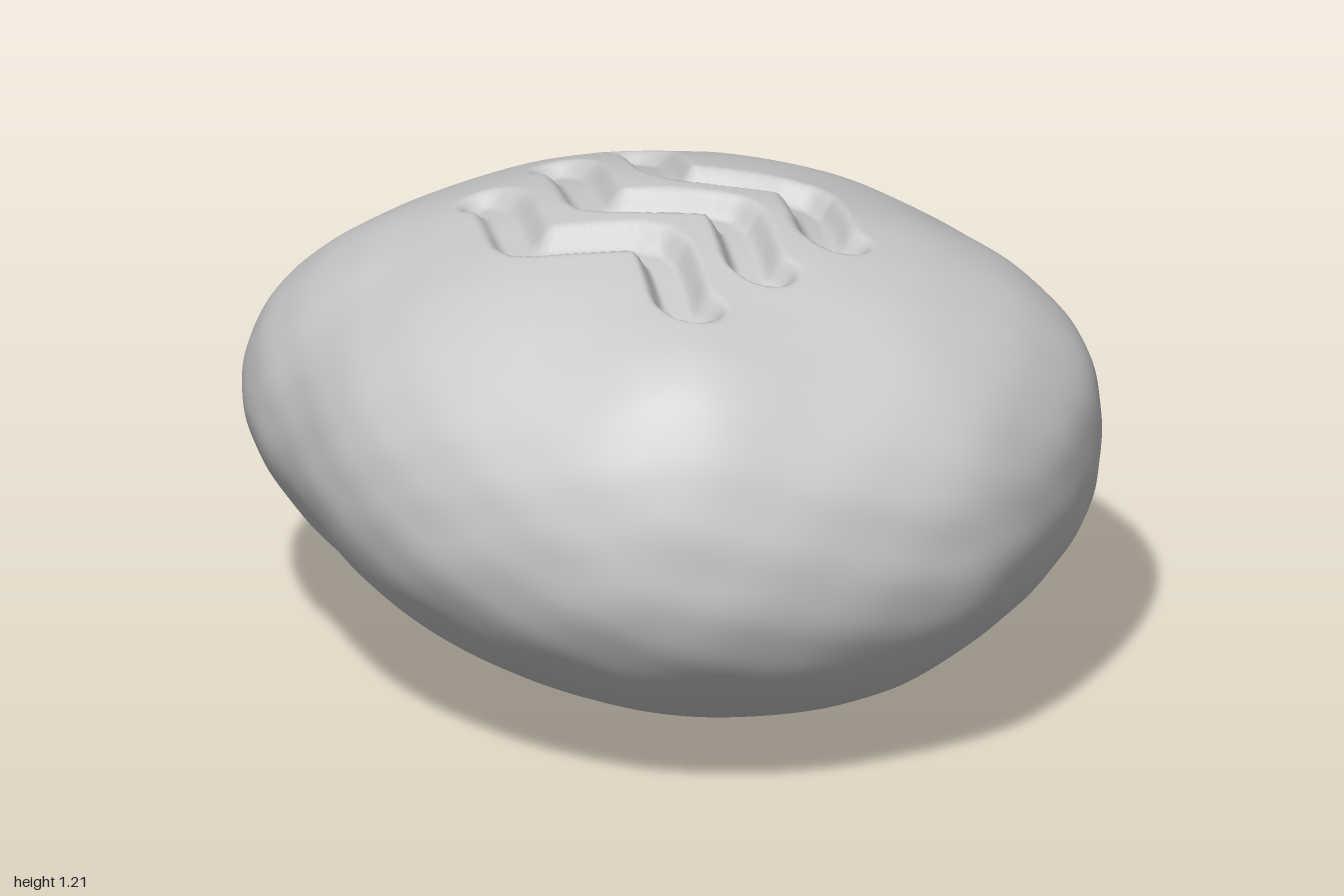
import * as THREE from 'three';

const TOP = 1.21;
const SEG = 288, UPPER = 110, LOWER = 50;
const step = THREE.MathUtils.smoothstep;

// Widest outline of the stone in plan: x, z
const outline = new THREE.CatmullRomCurve3([
  [0.995, -0.03], [0.985, 0.1], [0.92, 0.31], [0.81, 0.52], [0.68, 0.68], [0.48, 0.82], [0.11, 0.9],
  [-0.24, 0.855], [-0.56, 0.715], [-0.73, 0.63], [-0.87, 0.51], [-0.96, 0.37], [-0.99, 0.24], [-0.99, -0.03],
  [-0.93, -0.28], [-0.84, -0.43], [-0.74, -0.57], [-0.61, -0.69], [-0.45, -0.81], [-0.12, -0.905],
  [0.35, -0.845], [0.62, -0.75], [0.78, -0.62], [0.89, -0.43], [0.965, -0.21]
].map(([x, z]) => new THREE.Vector3(x, 0, z)), true);

// Profile per side: rim height, then exponents of the upper and lower curves
const sides = {
  right: { rim: 0.63, up: [1.8, 0.52], down: [1.6, 0.6] },
  left: { rim: 0.62, up: [2.1, 0.4], down: [2, 0.5] },
  front: { rim: 0.67, up: [2.5, 0.42], down: [1.45, 0.5] },
  back: { rim: 0.7, up: [1.55, 0.5], down: [1.8, 0.4] }
};

function sideHeight(side, s, upper) {
  const [p, q] = upper ? side.up : side.down;
  const f = Math.pow(Math.max(0, 1 - Math.pow(s, p)), q);
  return side.rim + ((upper ? TOP : 0) - side.rim) * f;
}

// Three carved zigzag channels with rounded bends, deeper towards the left
const zigzag = new THREE.CatmullRomCurve3([
  [-0.39, -0.305], [-0.35, -0.3], [-0.24, -0.22], [-0.12, -0.145], [0, -0.22],
  [0.12, -0.305], [0.24, -0.235], [0.34, -0.16], [0.39, -0.15]
].map(([x, z]) => new THREE.Vector3(x, 0, z))).getPoints(24);

function segmentDistance(x, z, a, b) {
  const dx = b.x - a.x, dz = b.z - a.z;
  const t = THREE.MathUtils.clamp(((x - a.x) * dx + (z - a.z) * dz) / (dx * dx + dz * dz), 0, 1);
  return Math.hypot(x - a.x - t * dx, z - a.z - t * dz);
}

function grooveDepth(x, z) {
  if (Math.abs(x) > 0.6 || Math.abs(z) > 0.6) return 0;
  let d = 1;
  for (let row = 0; row < 3; row++) {
    for (let i = 0; i < zigzag.length - 1; i++) {
      d = Math.min(d, segmentDistance(x, z - row * 0.25, zigzag[i], zigzag[i + 1]));
    }
  }
  return (0.055 + 0.04 * x) * (1 - step(d, 0.025, 0.075));
}

// Shallow square recess near the right tip
function recessDepth(x, z, s) {
  return 0.025 * step(-x, 0.74, 0.79) * (1 - step(Math.abs(z), 0.14, 0.18)) * (1 - step(s, 0.94, 1));
}

// Full, squarer shoulder at the front left
function shoulder(x, z, s) {
  return 0.08 * Math.exp(-((x - 0.6) ** 2 + (z - 0.57) ** 2) / 0.06) * (1 - Math.pow(s, 12));
}

// Gentle worn unevenness
function lumps(x, y, z) {
  return 0.003 * Math.sin(7 * x + 3 * y + 1) * Math.sin(6 * z - 4 * y)
    + 0.002 * Math.sin(13 * x - 9 * z + 2) * Math.sin(17 * y + 5 * z)
    + 0.0015 * Math.sin(19 * x + 11 * z) * Math.sin(37 * y - 13 * z + 1);
}

function stoneGeometry() {
  const positions = [], indices = [];
  const rim = Array.from({ length: SEG }, (_, j) => outline.getPointAt(j / SEG));

  // Rings run from the top centre, over the rim, to the bottom centre
  for (let k = 0; k <= UPPER + LOWER; k++) {
    const upper = k <= UPPER;
    const angle = (upper ? k / UPPER : (UPPER + LOWER - k) / LOWER) * Math.PI / 2;
    const s = Math.sin(angle);
    for (const r of rim) {
      const x = r.x * s, z = r.z * s;
      const wx = r.x * r.x / r.lengthSq();
      let y = wx * sideHeight(r.x > 0 ? sides.left : sides.right, s, upper)
        + (1 - wx) * sideHeight(r.z > 0 ? sides.front : sides.back, s, upper);
      const n = lumps(x, y, z) * s;
      if (upper) y += shoulder(x, z, s) - grooveDepth(x, z) - recessDepth(x, z, s);
      positions.push(x * (1 + n), y + (upper ? n : -n) * Math.cos(angle), z * (1 + n));
    }
  }
  for (let k = 0; k < UPPER + LOWER; k++) {
    for (let j = 0; j < SEG; j++) {
      const j1 = (j + 1) % SEG;
      const a = k * SEG + j, b = a + SEG, c = k * SEG + j1, d = c + SEG;
      if (k > 0) indices.push(a, c, b);
      if (k < UPPER + LOWER - 1) indices.push(c, d, b);
    }
  }
  const geometry = new THREE.BufferGeometry();
  geometry.setAttribute('position', new THREE.Float32BufferAttribute(positions, 3));
  geometry.setIndex(indices);
  geometry.computeVertexNormals();
  return geometry;
}

export function createModel() {
  const group = new THREE.Group();
  group.name = 'carvedStone';
  const stoneGrey = new THREE.MeshStandardMaterial({ color: 0xcccccc });
  stoneGrey.name = 'stone grey';
  const stone = new THREE.Mesh(stoneGeometry(), stoneGrey);
  stone.name = 'stone';
  group.add(stone);
  return group;
}
